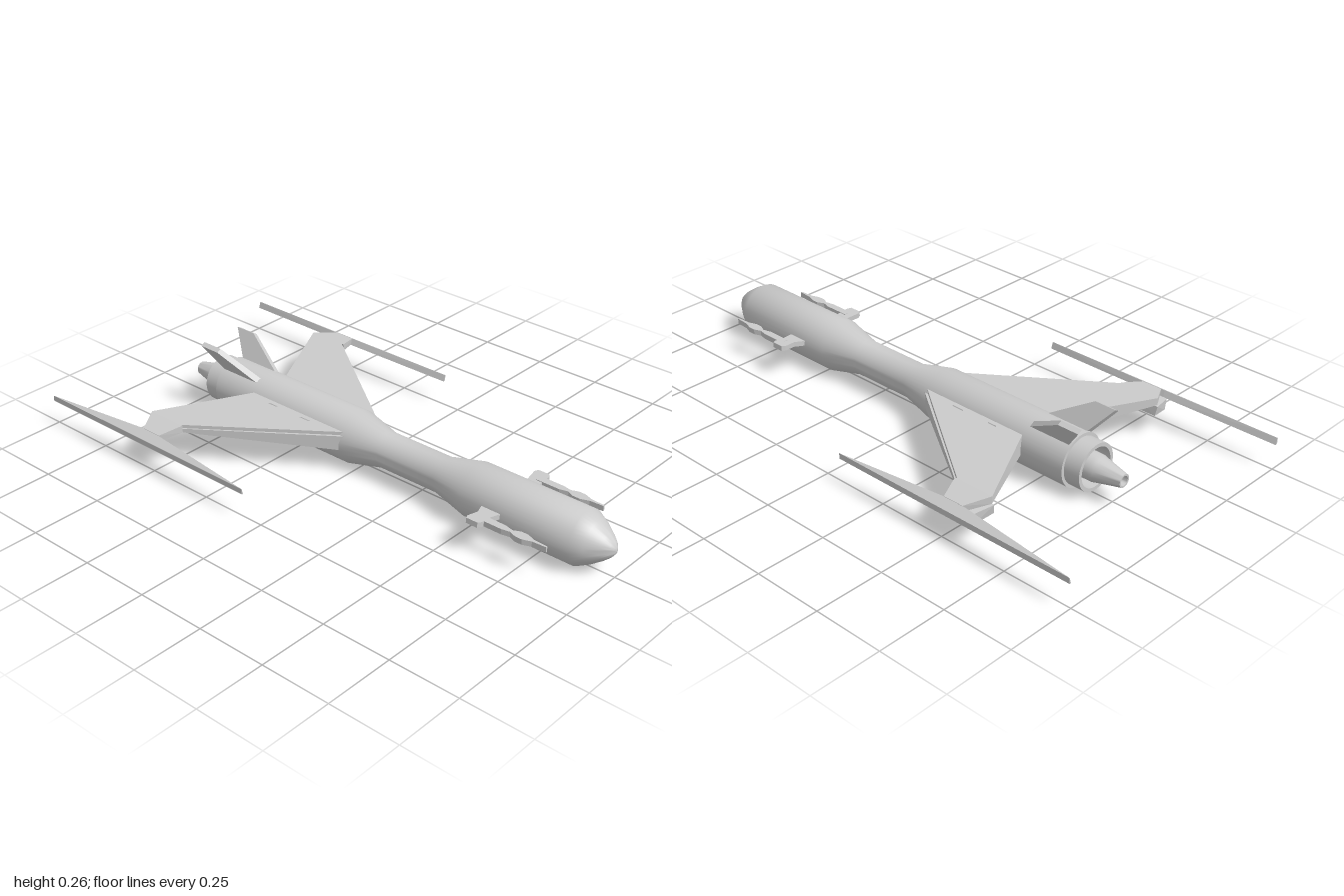
import * as THREE from 'three';
import { toCreasedNormals } from 'three/addons/utils/BufferGeometryUtils.js';
import { ConvexGeometry } from 'three/addons/geometries/ConvexGeometry.js';

const AXIS_Y = 0.098;
const material = new THREE.MeshStandardMaterial({ color: 0xcccccc });

// Solid of revolution about the long axis; profile is [x, radius] from tail to nose
function revolve(name, profile, segments = 40) {
  const points = profile.map(([x, r]) => new THREE.Vector2(r, x));
  const geometry = new THREE.LatheGeometry(points, segments).rotateZ(-Math.PI / 2);
  const mesh = new THREE.Mesh(toCreasedNormals(geometry, 0.6), material);
  mesh.name = name;
  mesh.position.y = AXIS_Y;
  return mesh;
}

// Convex block through a few corners [x, y, z]
const block = (corners) => new ConvexGeometry(corners.map((c) => new THREE.Vector3(...c)));

// Flat plate from a plan outline of [x, z], between two heights
function plate(outline, y0, y1, holes = []) {
  const toVec = ([x, z]) => new THREE.Vector2(x, -z);
  const shape = new THREE.Shape(outline.map(toVec));
  shape.holes = holes.map((h) => new THREE.Path(h.map(toVec)));
  return new THREE.ExtrudeGeometry(shape, { depth: y1 - y0, bevelEnabled: false })
    .rotateX(-Math.PI / 2).translate(0, y0, 0);
}

// Copy reflected in z, with the corner order of each triangle reversed
function mirrored(geometry) {
  const g = geometry.index ? geometry.toNonIndexed() : geometry.clone();
  const p = g.attributes.position;
  for (let i = 0; i < p.count; i += 3) {
    const [a, b, c] = [0, 2, 1].map((k) => new THREE.Vector3().fromBufferAttribute(geometry.index ? g.attributes.position : p, i + k));
    [a, b, c].forEach((v, k) => p.setXYZ(i + k, v.x, v.y, -v.z));
  }
  g.computeVertexNormals();
  return g;
}

export function createModel() {
  const model = new THREE.Group();
  model.name = 'winged drone';

  // Waisted fuselage with a blunt pointed nose
  model.add(revolve('fuselage', [
    [-0.62, 0], [-0.62, 0.094], [-0.03, 0.094], [0.1, 0.063], [0.34, 0.063], [0.47, 0.094],
    [0.885, 0.094], [0.925, 0.073], [0.965, 0.045], [0.985, 0.027], [0.996, 0.012], [1, 0],
  ]));

  // Open nozzle ring and the hollow exhaust cone inside it
  model.add(revolve('nozzleRing', [[-0.615, 0.066], [-0.68, 0.07], [-0.68, 0.083], [-0.615, 0.083]]));
  model.add(revolve('exhaustCone', [
    [-0.75, 0], [-0.75, 0.014], [-0.79, 0.017], [-0.79, 0.023], [-0.7, 0.043], [-0.685, 0.047], [-0.61, 0.047],
  ], 24));

  const pair = (name, geometry) => {
    [['left', mirrored(geometry)], ['right', geometry]].forEach(([side, g]) => {
      const mesh = new THREE.Mesh(g, material);
      mesh.name = `${side} ${name}`;
      model.add(mesh);
    });
  };

  // Swept wing: tapered core below a flat skin with two slots
  pair('wingCore', block([
    [0.01, 0.138, 0.06], [0.01, 0.081, 0.06], [-0.435, 0.138, 0.06], [-0.435, 0.081, 0.06],
    [-0.46, 0.138, 0.4], [-0.46, 0.124, 0.4], [-0.61, 0.138, 0.4], [-0.61, 0.124, 0.4],
  ]));
  pair('wingSkin', plate(
    [[-0.005, 0.06], [-0.468, 0.4], [-0.61, 0.4], [-0.435, 0.06]], 0.138, 0.15,
    [
      [[-0.35, 0.095], [-0.315, 0.095], [-0.52, 0.34]],
      [[-0.205, 0.095], [-0.16, 0.095], [-0.39, 0.295]],
    ],
  ));

  // Drooped wing tip carrying the long blade
  pair('wingTip', block([
    [-0.46, 0.15, 0.4], [-0.46, 0.124, 0.4], [-0.61, 0.15, 0.4], [-0.61, 0.124, 0.4],
    [-0.49, 0.134, 0.48], [-0.49, 0.112, 0.476], [-0.565, 0.134, 0.48], [-0.565, 0.112, 0.476],
  ]));
  pair('tipBlade', block([
    [-0.58, 0.134, 0.481], [-0.49, 0.134, 0.481], [-0.58, 0.112, 0.472], [-0.49, 0.112, 0.472],
    [-1, 0.115, 0.512], [-0.07, 0.115, 0.512], [-1, 0.095, 0.512], [-0.07, 0.095, 0.512],
    [-1, 0.092, 0.504], [-0.07, 0.092, 0.504],
  ]));

  // Slanted fairing under the trailing edge of each tip
  pair('tipFairing', block([
    [-0.615, 0.12, 0.396], [-0.53, 0.126, 0.396], [-0.61, 0.087, 0.39], [-0.55, 0.087, 0.39],
    [-0.595, 0.112, 0.474], [-0.53, 0.115, 0.474], [-0.595, 0.073, 0.466], [-0.55, 0.073, 0.466],
  ]));

  // V-shaped tail fins
  const finCorners = [];
  [[0.034, 0.183], [0.053, 0.172]].forEach(([z, y]) =>
    [-0.61, -0.45].forEach((x) => finCorners.push([x, y, z])));
  [[0.081, 0.268], [0.097, 0.259]].forEach(([z, y]) =>
    [-0.68, -0.6].forEach((x) => finCorners.push([x, y, z])));
  pair('tailFin', block(finCorners));

  // Short nose pylons with forward-pointing probes
  pair('pylon', plate([
    [0.555, 0.08], [0.635, 0.08], [0.625, 0.13], [0.625, 0.175], [0.618, 0.188],
    [0.575, 0.188], [0.568, 0.175], [0.575, 0.13],
  ], -0.009, 0.009).translate(0, 0, -0.14).rotateX(-0.1).translate(0, 0.113, 0.14));
  pair('probe', plate([
    [0.6, 0.138], [0.69, 0.138], [0.72, 0.146], [0.745, 0.134], [0.77, 0.134], [0.8, 0.145], [0.85, 0.148],
    [0.85, 0.154], [0.8, 0.157], [0.77, 0.168], [0.745, 0.168], [0.72, 0.158], [0.69, 0.164], [0.6, 0.164],
  ], 0.105, 0.124));

  return model;
}
